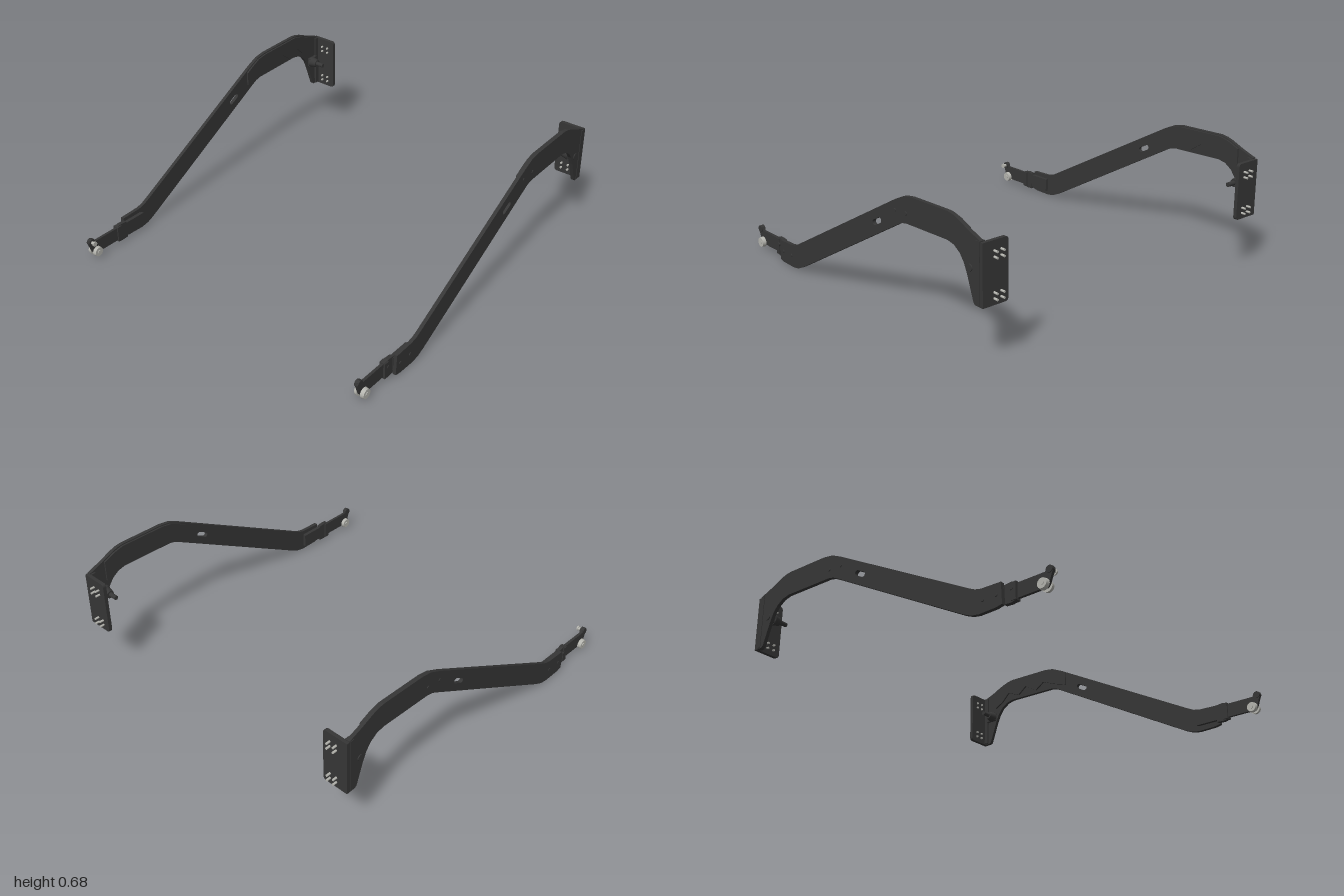
import * as THREE from 'three';

export function createModel() {
  const dark = new THREE.MeshStandardMaterial({ color: 0x363636 });
  dark.name = 'black steel';
  const metal = new THREE.MeshStandardMaterial({ color: 0xb4b4ae });
  metal.name = 'bare metal';

  const shapeOf = (pts) => new THREE.Shape(pts.map(([x, y]) => new THREE.Vector2(x, y)));

  // Plate in the XY plane; za and zb are distances from the centre on side s
  function plate(parent, name, shape, za, zb, s) {
    const geo = new THREE.ExtrudeGeometry(shape, { depth: Math.abs(zb - za), bevelEnabled: false, curveSegments: 10 });
    const mesh = new THREE.Mesh(geo, dark);
    mesh.position.z = Math.min(s * za, s * zb);
    mesh.name = name;
    parent.add(mesh);
  }

  // Round part along z; r1 at za, r2 at zb
  function round(parent, name, x, y, za, zb, r1, r2, s, mat) {
    const [top, bottom] = s * (zb - za) > 0 ? [r2, r1] : [r1, r2];
    const geo = new THREE.CylinderGeometry(top, bottom, Math.abs(zb - za), 24).rotateX(Math.PI / 2);
    const mesh = new THREE.Mesh(geo, mat);
    mesh.position.set(x, y, s * (za + zb) / 2);
    mesh.name = name;
    parent.add(mesh);
  }

  function box(parent, name, x0, x1, y0, y1, z0, z1, s) {
    const mesh = new THREE.Mesh(new THREE.BoxGeometry(x1 - x0, y1 - y0, Math.abs(z1 - z0)), dark);
    mesh.position.set((x0 + x1) / 2, (y0 + y1) / 2, s * (z0 + z1) / 2);
    mesh.name = name;
    parent.add(mesh);
  }

  // Cranked arm outline with a slanted slot
  const arm = shapeOf([
    [-0.735, 0.015], [-0.7, 0.008], [-0.6, 0.006], [-0.555, 0.014], [-0.51, 0.034],
    [0.36, 0.518], [0.39, 0.533], [0.425, 0.541], [0.735, 0.549], [0.78, 0.539], [0.82, 0.512],
    [0.848, 0.475], [0.87, 0.425], [0.912, 0.305], [0.922, 0.296], [0.96, 0.296], [0.96, 0.607],
    [0.88, 0.637], [0.81, 0.668], [0.775, 0.68], [0.735, 0.686], [0.47, 0.68], [0.41, 0.67],
    [0.345, 0.64], [-0.54, 0.157], [-0.575, 0.14], [-0.61, 0.132], [-0.728, 0.128],
  ]);
  const slot = new THREE.Path();
  const tilt = 0.5, half = 0.025, r = 0.014;
  const dx = Math.cos(tilt) * half, dy = Math.sin(tilt) * half;
  slot.absarc(0.192 + dx, 0.488 + dy, r, tilt - Math.PI / 2, tilt + Math.PI / 2, false);
  slot.absarc(0.192 - dx, 0.488 - dy, r, tilt + Math.PI / 2, tilt + Math.PI * 1.5, false);
  slot.closePath();
  arm.holes.push(slot);

  // Inner stiffener with a zigzag lower edge
  const stiffener = shapeOf([
    [0.31, 0.535], [0.4, 0.565], [0.48, 0.6], [0.54, 0.56], [0.62, 0.61], [0.68, 0.565],
    [0.76, 0.6], [0.81, 0.55], [0.865, 0.52], [0.865, 0.637], [0.8, 0.665], [0.74, 0.68],
    [0.47, 0.674], [0.41, 0.664], [0.345, 0.632], [0.31, 0.612],
  ]);

  // Tip bar, with a rising eye at its end
  const tipBar = shapeOf([
    [-0.965, 0.033], [-0.6, 0.033], [-0.6, 0.11], [-0.955, 0.11], [-0.963, 0.128],
    [-0.98, 0.136], [-0.996, 0.128], [-1, 0.112], [-0.992, 0.09], [-0.978, 0.05],
  ]);
  const sleeve = shapeOf([
    [-0.8, 0.025], [-0.77, 0.018], [-0.73, 0.02], [-0.73, 0.118], [-0.77, 0.122], [-0.8, 0.116],
  ]);

  // Mounting plate outline, rounded at its inner corners (u runs inward)
  const flange = new THREE.Shape();
  flange.moveTo(0, 0);
  flange.lineTo(0.13, 0);
  flange.quadraticCurveTo(0.148, 0, 0.148, 0.018);
  flange.lineTo(0.148, 0.289);
  flange.quadraticCurveTo(0.148, 0.307, 0.13, 0.307);
  flange.lineTo(0, 0.307);

  function makeArm(s) {
    const g = new THREE.Group();
    g.name = s > 0 ? 'rightArm' : 'leftArm';
    plate(g, 'armPlate', arm, 0.922, 0.942, s);
    plate(g, 'stiffener', stiffener, 0.913, 0.922, s);
    plate(g, 'tipBar', tipBar, 0.9, 0.915, s);
    plate(g, 'sleeve', sleeve, 0.899, 0.921, s);
    box(g, 'clamp', -0.8, -0.772, 0.025, 0.116, 0.892, 0.926, s);
    box(g, 'spacer', -0.735, -0.605, 0.035, 0.108, 0.913, 0.924, s);

    // Mounting plate, facing +x
    const geo = new THREE.ExtrudeGeometry(flange, { depth: 0.02, bevelEnabled: false, curveSegments: 6 });
    geo.rotateY(Math.PI / 2);
    const mount = new THREE.Mesh(geo, dark);
    mount.name = 'mountPlate';
    mount.position.set(0.956, 0.295, s > 0 ? 0.942 : -0.794);
    if (s < 0) {
      mount.rotation.x = Math.PI;
      mount.position.set(0.956, 0.602, -0.942);
    }
    g.add(mount);
    box(g, 'weldStrip', 0.932, 0.957, 0.3, 0.605, 0.912, 0.945, s);

    // Two clusters of four bolts
    for (const y of [0.327, 0.356, 0.524, 0.553]) for (const z of [0.836, 0.876]) {
      const bolt = new THREE.Mesh(new THREE.CylinderGeometry(0.006, 0.006, 0.054, 10), metal);
      bolt.rotation.z = Math.PI / 2;
      bolt.position.set(0.973, y, s * z);
      bolt.name = 'mountBolt';
      g.add(bolt);
    }

    // Stepped pivot stud on the inner face
    box(g, 'studFoot', 0.868, 0.935, 0.44, 0.49, 0.905, 0.922, s);
    round(g, 'studBase', 0.89, 0.465, 0.91, 0.865, 0.032, 0.022, s, dark);
    round(g, 'studTip', 0.888, 0.465, 0.866, 0.818, 0.013, 0.012, s, dark);
    round(g, 'studHead', 0.89, 0.465, 0.94, 0.946, 0.018, 0.016, s, dark);

    // Roller pair and axle
    round(g, 'innerRoller', -0.953, 0.047, 0.88, 0.898, 0.026, 0.029, s, metal);
    round(g, 'outerRoller', -0.953, 0.047, 0.917, 0.937, 0.029, 0.026, s, metal);
    round(g, 'rollerAxle', -0.953, 0.047, 0.876, 0.94, 0.011, 0.011, s, metal);
    round(g, 'eyeBoss', -0.98, 0.115, 0.896, 0.919, 0.019, 0.019, s, dark);
    if (s < 0) {
      round(g, 'eyePin', -0.98, 0.115, 0.876, 0.9, 0.009, 0.009, s, metal);
      round(g, 'eyePinHead', -0.98, 0.115, 0.872, 0.88, 0.014, 0.014, s, metal);
    }

    // Small rivets on the outer face
    for (const [x, y] of [[-0.7, 0.07], [-0.62, 0.07], [0.34, 0.585], [0.425, 0.59]])
      round(g, 'rivet', x, y, 0.94, 0.945, 0.01, 0.008, s, dark);
    round(g, 'sleeveRivet', -0.775, 0.085, 0.918, 0.929, 0.01, 0.008, s, dark);
    return g;
  }

  const model = new THREE.Group();
  model.name = 'armPair';
  model.add(makeArm(1), makeArm(-1));
  return model;
}
